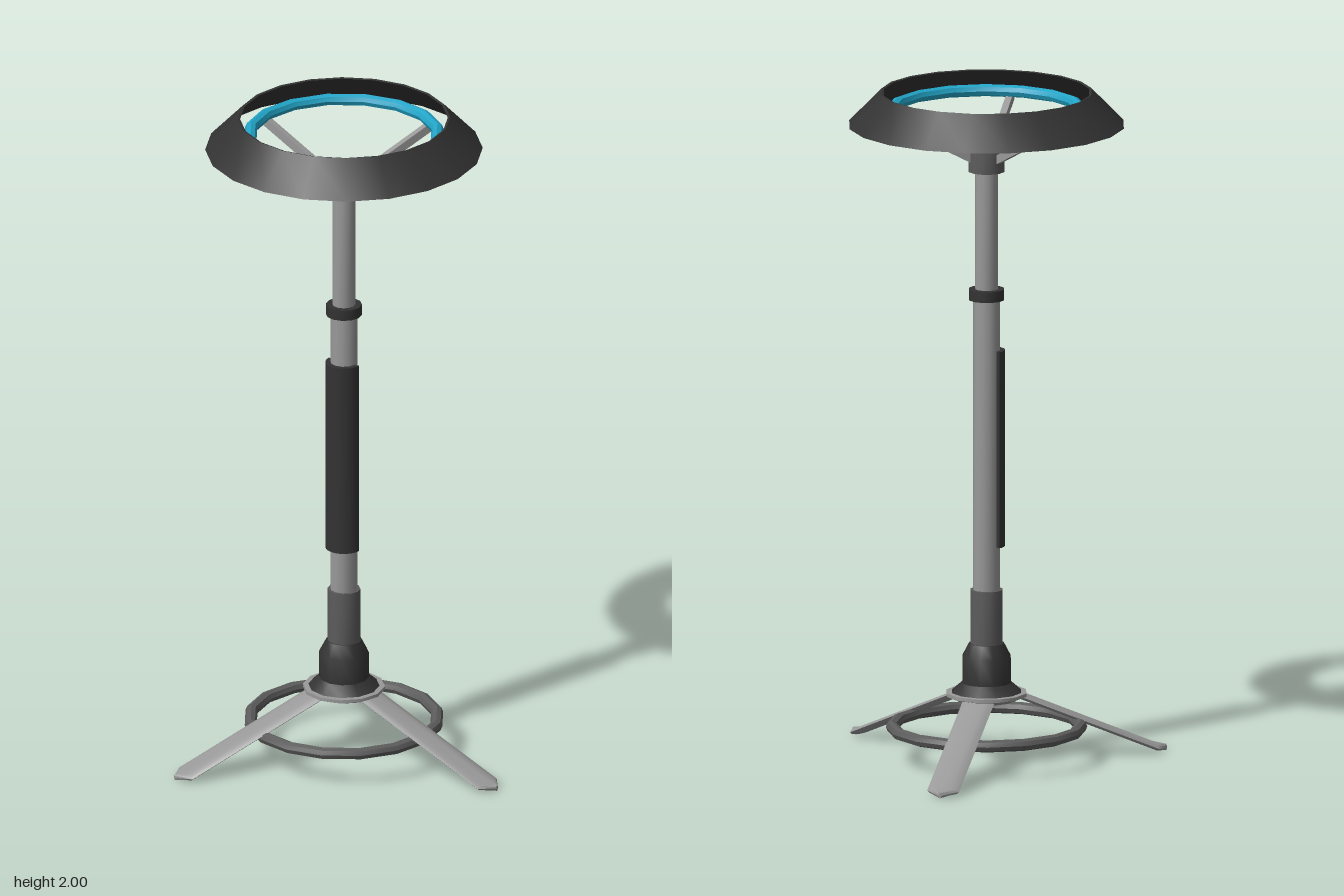
import * as THREE from 'three';
import { toCreasedNormals } from 'three/addons/utils/BufferGeometryUtils.js';

const material = (color, side = THREE.FrontSide) => new THREE.MeshStandardMaterial({ color, side });
const metal = material(0x999999);
const midGrey = material(0x5c5c5c);
const dark = material(0x333333);
const darkShell = material(0x333333, THREE.DoubleSide);
const blue = material(0x22a5c8);

function part(name, geometry, mat, y = 0) {
  const mesh = new THREE.Mesh(toCreasedNormals(geometry, 0.7), mat);
  mesh.name = name;
  mesh.position.y = y;
  return mesh;
}

// Upright cylinder between two heights
function column(name, radius, y0, y1, mat, sides = 12) {
  return part(name, new THREE.CylinderGeometry(radius, radius, y1 - y0, sides), mat, (y0 + y1) / 2);
}

// Level ring
function hoop(name, radius, tube, y, mat) {
  const geometry = new THREE.TorusGeometry(radius, tube, 8, 16).rotateX(Math.PI / 2);
  return part(name, geometry, mat, y);
}

// Flat, rounded bar sloping to the ground with a pointed foot
function legGeometry() {
  // distance from axis, height, half width, half thickness
  const rows = [[0.08, 0.203, 0.048, 0.011], [0.51, 0.018, 0.048, 0.011], [0.545, 0.013, 0.004, 0.009]];
  const geometry = new THREE.CylinderGeometry(1, 1, 2, 12, 2);
  const p = geometry.attributes.position;
  for (let i = 0; i < p.count; i++) {
    const [r, y, w, t] = rows[Math.round(p.getY(i)) + 1];
    p.setXYZ(i, r, Math.max(0, y - p.getX(i) * t), p.getZ(i) * w);
  }
  return geometry;
}

// Slim bar from the hub up to the light ring
function strutGeometry() {
  const a = new THREE.Vector2(0.03, 1.795), b = new THREE.Vector2(0.285, 1.93);
  const geometry = new THREE.BoxGeometry(a.distanceTo(b), 0.024, 0.02);
  geometry.rotateZ(Math.atan2(b.y - a.y, b.x - a.x));
  return geometry.translate((a.x + b.x) / 2, (a.y + b.y) / 2, 0);
}

// Half sleeve on the front of the pole
function gripGeometry(height) {
  const shape = new THREE.Shape();
  shape.absarc(0, 0, 0.054, Math.PI, Math.PI * 2, false);
  shape.absarc(0, 0, 0.036, Math.PI * 2, Math.PI, true);
  const geometry = new THREE.ExtrudeGeometry(shape, { depth: height, bevelEnabled: false, curveSegments: 8 });
  return geometry.rotateX(-Math.PI / 2);
}

function lathe(points, sides) {
  return new THREE.LatheGeometry(points.map(([x, y]) => new THREE.Vector2(x, y)), sides);
}

export function createModel() {
  const model = new THREE.Group();
  model.name = 'floorLamp';
  const lamp = new THREE.Group();
  lamp.name = 'lamp';
  lamp.position.x = -0.07;
  model.add(lamp);

  // Foot: plate, flared base and sleeve
  lamp.add(
    part('basePlate', lathe([[0, 0.185], [0.085, 0.185], [0.12, 0.2], [0.12, 0.21], [0, 0.215]], 12), metal),
    part('base', lathe([[0, 0.205], [0.105, 0.21], [0.073, 0.238], [0.073, 0.315], [0.052, 0.355], [0, 0.355]], 12), dark),
    column('sleeve', 0.048, 0.35, 0.515, midGrey),
    hoop('footRing', 0.276, 0.018, 0.105, midGrey)
  );

  // Telescopic pole
  lamp.add(
    column('lowerPole', 0.04, 0.5, 1.39, metal),
    column('upperPole', 0.034, 1.38, 1.78, metal),
    column('collar', 0.053, 1.38, 1.412, dark),
    part('grip', gripGeometry(0.585), dark, 0.645)
  );
  lamp.getObjectByName('grip').rotation.y = 0;

  // Head: hub, light ring and open conical shade
  lamp.add(
    column('hub', 0.054, 1.763, 1.835, midGrey),
    hoop('lightRing', 0.277, 0.018, 1.945, blue),
    part('shade', lathe([[0.405, 1.902], [0.31, 2], [0.303, 1.998], [0.398, 1.902], [0.405, 1.902]], 20), darkShell)
  );

  // Three legs, with three struts between their directions
  for (let i = 0; i < 3; i++) {
    const angle = (i * Math.PI * 2) / 3;
    const leg = part('leg', legGeometry(), metal);
    leg.rotation.y = angle;
    const strut = part('strut', strutGeometry(), metal);
    strut.rotation.y = angle + Math.PI;
    lamp.add(leg, strut);
  }
  return model;
}
